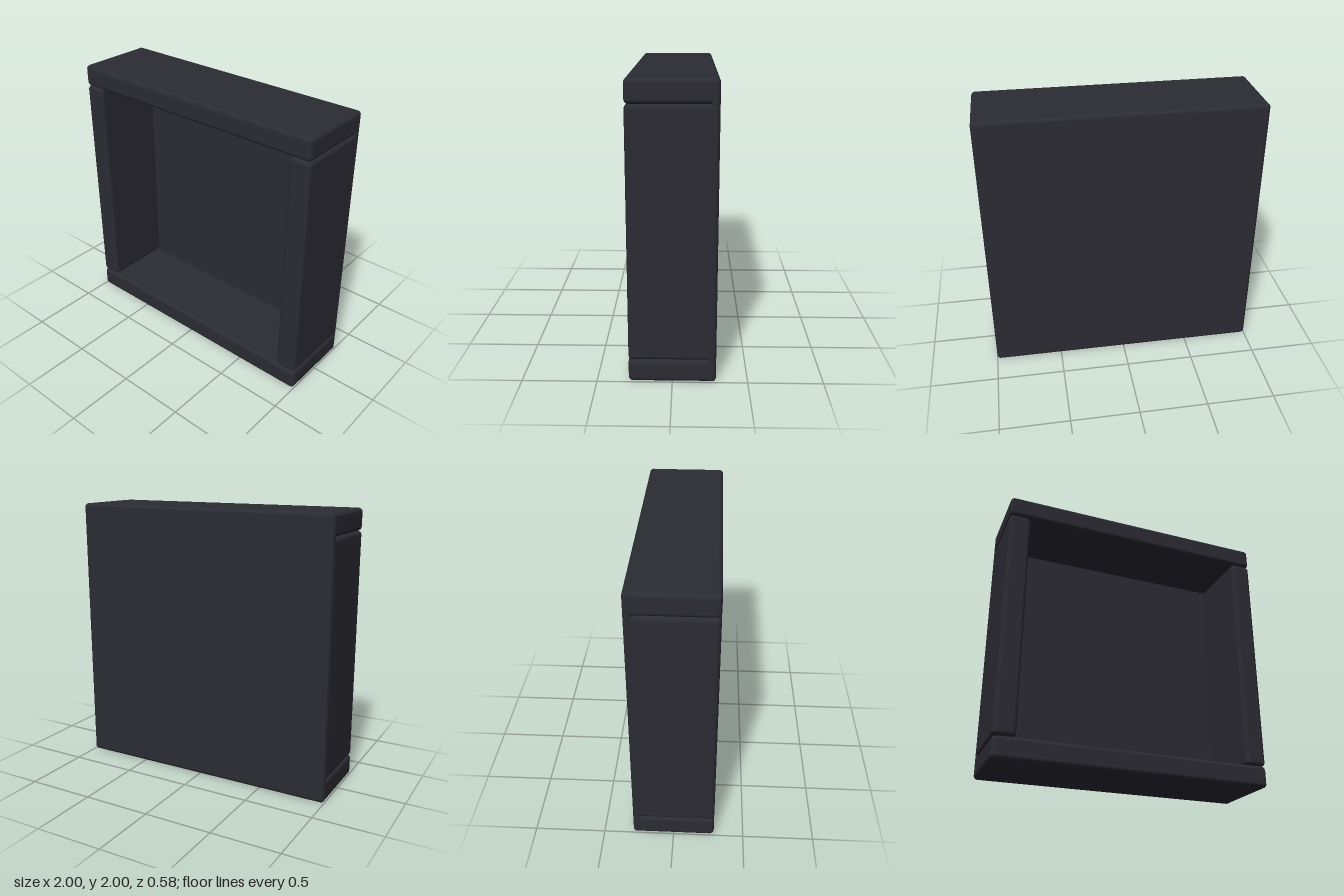
import * as THREE from 'three';
import { RoundedBoxGeometry } from 'three/addons/geometries/RoundedBoxGeometry.js';

const SIZE = 2;        // outer width and height
const BOARD = 0.157;   // frame board thickness
const FRONT = 0.29;    // half depth
const BOARD_BACK = -0.27;
const PANEL_FRONT = -0.232;

export function createModel() {
  const group = new THREE.Group();
  group.name = 'openBox';
  const charcoal = new THREE.MeshStandardMaterial({ color: 0x2b2b33 });
  charcoal.name = 'charcoal';

  // Softly rounded board with its depth given by back and front z
  const addBoard = (name, width, height, back, front, x, y, radius) => {
    const geometry = new RoundedBoxGeometry(width, height, front - back, 5, radius);
    const mesh = new THREE.Mesh(geometry, charcoal);
    mesh.name = name;
    mesh.position.set(x, y, (back + front) / 2);
    group.add(mesh);
  };

  // Back panel, covering the rear ends of the frame boards
  addBoard('backPanel', SIZE, SIZE, -FRONT, PANEL_FRONT, 0, SIZE / 2, 0.027);

  // Full-width top and bottom boards
  addBoard('topBoard', SIZE, BOARD, BOARD_BACK, FRONT, 0, SIZE - BOARD / 2, 0.03);
  addBoard('bottomBoard', SIZE, BOARD, BOARD_BACK, FRONT, 0, BOARD / 2, 0.03);

  // Side boards standing between them
  for (const side of [1, -1]) {
    addBoard(side > 0 ? 'leftBoard' : 'rightBoard', BOARD, SIZE - 2 * BOARD,
      BOARD_BACK, FRONT, side * (SIZE - BOARD) / 2, SIZE / 2, 0.03);
  }
  return group;
}
